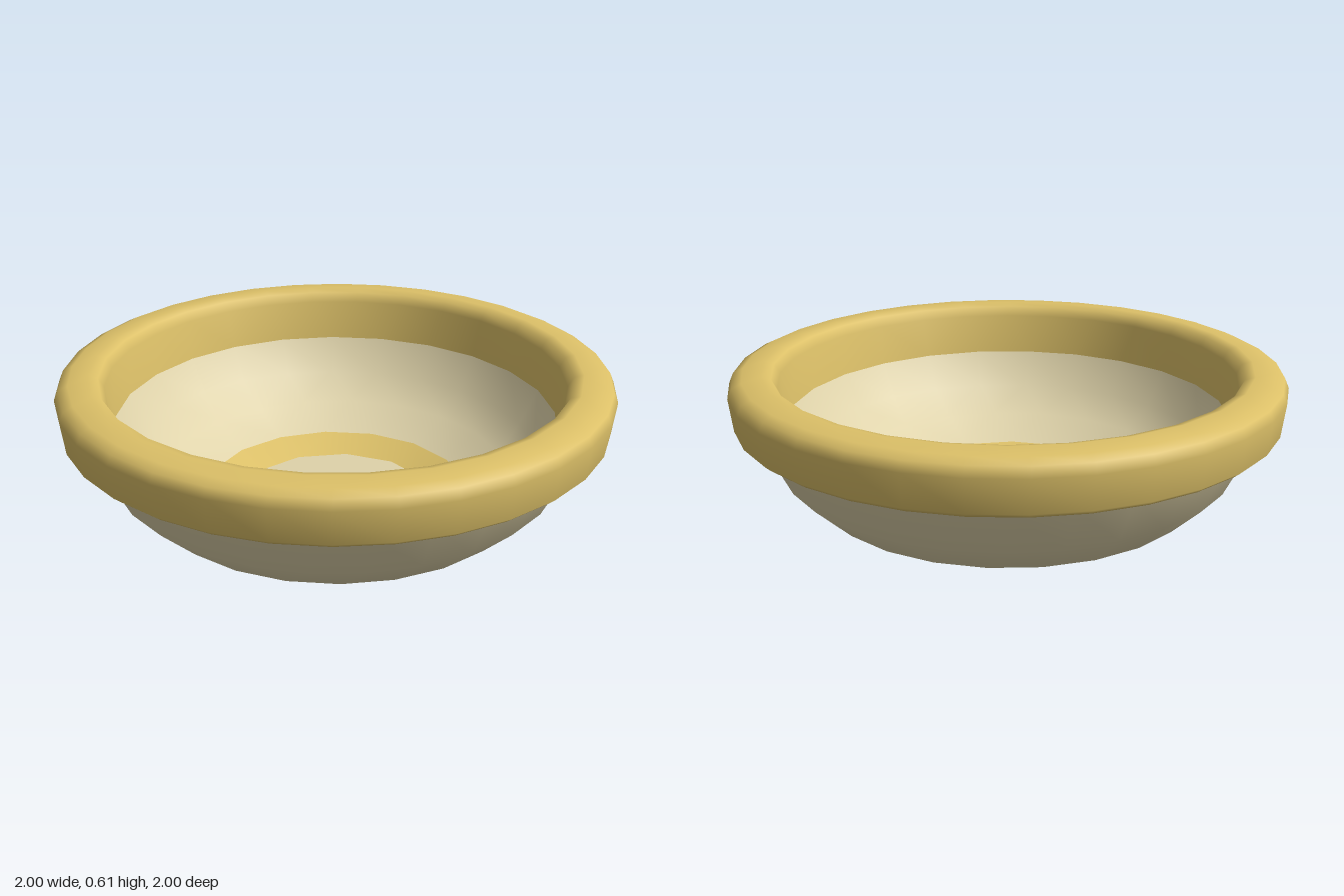
import * as THREE from 'three';

const GOLD = 0xdcc068, CREAM = 0xdfd3aa;

// Surface of revolution whose rings have fewer sides where they are smaller.
// profile: [distance to flat side, height], going up the outside and down the inside
function ringSurface(name, color, profile) {
  const pos = [], index = [], rings = [];
  for (const [d, y] of profile) {
    const n = Math.max(1, 4 * Math.round(d * 8));
    const r = n > 1 ? d / Math.cos(Math.PI / n) : 0;
    rings.push({ start: pos.length / 3, n });
    for (let i = 0; i < n; i++) {
      const a = ((i + 0.5) / n) * Math.PI * 2;
      pos.push(r * Math.sin(a), y, r * Math.cos(a));
    }
  }
  // Stitch neighbouring rings, always advancing the one that lags behind
  for (let k = 0; k + 1 < rings.length; k++) {
    const A = rings[k], B = rings[k + 1];
    const a = (i) => A.start + (i % A.n), b = (j) => B.start + (j % B.n);
    let i = 0, j = 0;
    while (i < A.n || j < B.n) {
      const advanceA = j >= B.n || (i < A.n && (i + 1.5) / A.n <= (j + 1.5) / B.n);
      if (advanceA) {
        if (A.n > 1) index.push(a(i), a(i + 1), b(j));
        i++;
      } else {
        if (B.n > 1) index.push(a(i), b(j + 1), b(j));
        j++;
      }
    }
  }
  const geo = new THREE.BufferGeometry();
  geo.setAttribute('position', new THREE.Float32BufferAttribute(pos, 3));
  geo.setIndex(index);
  geo.computeVertexNormals();
  const mesh = new THREE.Mesh(geo, new THREE.MeshStandardMaterial({ color, side: THREE.DoubleSide }));
  mesh.name = name;
  return mesh;
}

export function createModel() {
  const group = new THREE.Group();
  group.name = 'bowl';
  group.add(
    // Rounded outside with a flat foot
    ringSurface('bowlOutside', CREAM, [
      [0, 0], [0.38, 0], [0.53, 0.04], [0.69, 0.11], [0.82, 0.23], [0.91, 0.41],
    ]),
    // Thick rim: underside, outer band, rounded top and inner wall
    ringSurface('rim', GOLD, [
      [0.91, 0.408], [0.965, 0.408], [0.985, 0.425], [1, 0.545], [0.985, 0.58], [0.95, 0.597],
      [0.88, 0.605], [0.845, 0.595], [0.825, 0.56], [0.8, 0.41],
    ]),
    // Hollow inside with a painted ring around the floor
    ringSurface('bowlInside', CREAM, [[0.8, 0.41], [0.73, 0.28], [0.63, 0.19], [0.48, 0.115]]),
    ringSurface('floorRing', GOLD, [[0.48, 0.115], [0.36, 0.07]]),
    ringSurface('floor', CREAM, [[0.36, 0.07], [0, 0.07]]),
  );
  return group;
}
